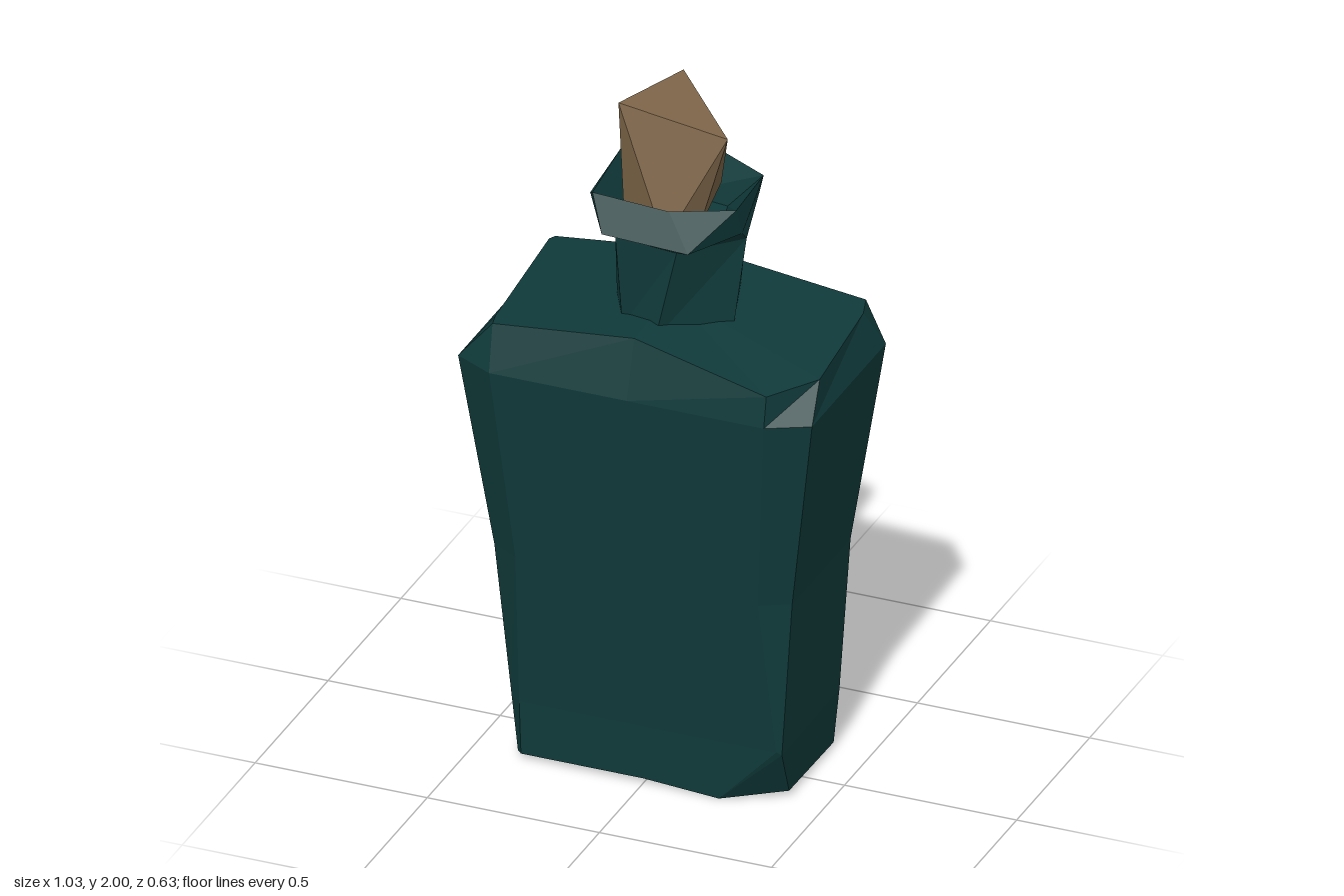
import * as THREE from 'three';
import { ConvexGeometry } from 'three/addons/geometries/ConvexGeometry.js';

const glass = new THREE.MeshStandardMaterial({ color: 0x103a3a, flatShading: true });
glass.name = 'darkGlass';
const corkMaterial = new THREE.MeshStandardMaterial({ color: 0x7d6548, flatShading: true });
corkMaterial.name = 'cork';

// Skin a stack of rings (points run counter-clockwise seen from above), with optional cap centres.
function loft(rings, bottomCentre, topCentre) {
  const out = [];
  const n = rings[0].length;
  const tri = (...points) => points.forEach((p) => out.push(...p));
  for (let r = 0; r < rings.length - 1; r++) {
    for (let i = 0; i < n; i++) {
      const j = (i + 1) % n;
      const lo = rings[r], hi = rings[r + 1];
      tri(lo[i], lo[j], hi[j]);
      tri(lo[i], hi[j], hi[i]);
    }
  }
  const last = rings[rings.length - 1];
  for (let i = 0; i < n; i++) {
    const j = (i + 1) % n;
    if (bottomCentre) tri(bottomCentre, rings[0][j], rings[0][i]);
    if (topCentre) tri(topCentre, last[i], last[j]);
  }
  const geometry = new THREE.BufferGeometry();
  geometry.setAttribute('position', new THREE.Float32BufferAttribute(out, 3));
  geometry.computeVertexNormals();
  return geometry;
}

// Rectangle with cut corners; two extra points sit in the middle of front and back.
function section(y, x0, x1, z0, z1, cx, cz) {
  return [
    [x0 + cx, y, z1], [0, y, z1], [x1 - cx, y, z1], [x1, y, z1 - cz], [x1, y, z0 + cz],
    [x1 - cx, y, z0], [0, y, z0], [x0 + cx, y, z0], [x0, y, z0 + cz], [x0, y, z1 - cz],
  ];
}

function add(group, name, geometry, material) {
  const mesh = new THREE.Mesh(geometry, material);
  mesh.name = name;
  group.add(mesh);
}

export function createModel() {
  const bottle = new THREE.Group();
  bottle.name = 'corkedBottle';

  // Body: narrow base, widening to cut shoulders
  const base = section(0.015, -0.37, 0.39, -0.2, 0.2, 0.015, 0.015);
  base[2] = [0.22, 0, 0.2];
  base[3] = [0.39, 0.02, 0.12];
  const aboveBase = section(0.18, -0.385, 0.405, -0.21, 0.212, 0.03, 0.02);
  aboveBase[2] = [0.39, 0.18, 0.208];
  aboveBase[3] = [0.403, 0.17, 0.2];
  const shoulder = [
    [-0.41, 1.345, 0.265], [0, 1.385, 0.262], [0.4, 1.31, 0.3], [0.5, 1.32, 0.17], [0.47, 1.33, -0.2],
    [0.45, 1.335, -0.265], [0, 1.39, -0.262], [-0.45, 1.34, -0.26], [-0.46, 1.34, -0.24], [-0.42, 1.345, 0.22],
  ];
  const body = [
    base,
    aboveBase,
    section(0.64, -0.43, 0.435, -0.24, 0.25, 0.08, 0.045),
    section(1.22, -0.515, 0.513, -0.313, 0.313, 0.115, 0.06),
    shoulder,
  ];
  add(bottle, 'body', loft(body, [0, 0.012, 0], [0, 1.388, 0]), glass);

  // Neck: irregular six-sided tube
  const neck = [
    [[-0.09, 1.34, 0.13], [0.02, 1.34, 0.165], [0.19, 1.34, 0.03], [0.13, 1.34, -0.155], [-0.1, 1.34, -0.145], [-0.16, 1.34, 0]],
    [[-0.1, 1.62, 0.155], [0.08, 1.61, 0.16], [0.22, 1.61, 0.01], [0.14, 1.6, -0.2], [-0.08, 1.61, -0.18], [-0.16, 1.61, -0.01]],
  ];
  add(bottle, 'neck', loft(neck), glass);

  // Lip: flared rim with a hollow mouth
  const lip = [
    [...neck[1]],
    [[-0.11, 1.66, 0.225], [0.14, 1.65, 0.225], [0.22, 1.64, 0.04], [0.18, 1.66, -0.18], [-0.17, 1.67, -0.16], [-0.23, 1.66, 0.02]],
    [[-0.16, 1.75, 0.17], [0.06, 1.735, 0.165], [0.22, 1.73, 0.08], [0.21, 1.73, -0.13], [0.02, 1.75, -0.205], [-0.18, 1.76, -0.08]],
    [[-0.09, 1.62, 0.11], [0.05, 1.62, 0.13], [0.15, 1.62, 0.04], [0.11, 1.62, -0.12], [-0.04, 1.62, -0.14], [-0.12, 1.62, -0.03]],
  ];
  add(bottle, 'lip', loft(lip, null, [0, 1.62, 0]), glass);

  // Stopper: rough chunk with a slanted triangular top
  const stopperPoints = [
    [-0.112, 2, 0.105], [0.18, 1.92, 0.045], [-0.035, 1.985, -0.16],
    [-0.11, 1.63, 0.07], [0.04, 1.63, 0.15], [0.1, 1.63, 0.06], [0.1, 1.7, -0.1], [-0.06, 1.63, -0.1],
  ].map((p) => new THREE.Vector3(...p));
  add(bottle, 'stopper', new ConvexGeometry(stopperPoints), corkMaterial);

  return bottle;
}
